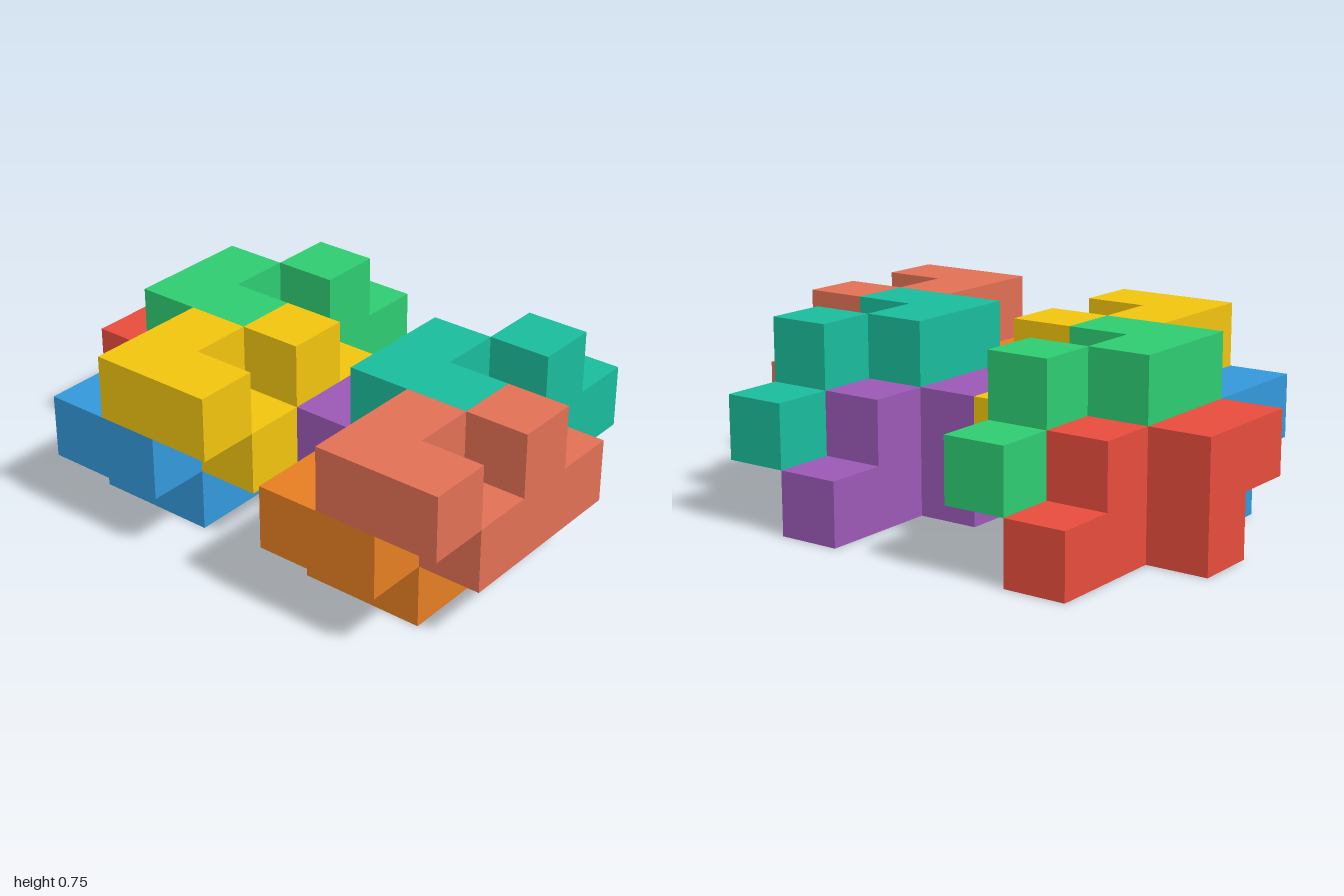
import * as THREE from 'three';
import { mergeGeometries } from 'three/addons/utils/BufferGeometryUtils.js';

const UNIT = 0.25; // edge of one cube

// Cubes of one puzzle piece (x, y, z): a T-shaped bar, a step, and a hook on top
const PIECE = [
  [1, 0, 0], [1, 0, 1], [1, 0, 2], [1, 1, 1], // bar with stud
  [0, 0, 2],                                  // step
  [0, 1, 2], [0, 1, 3], [1, 1, 3],            // hook
];

// Offsets of the four interlocking pieces in a cluster
const OFFSETS = [[0, 0, 0], [1, 1, 0], [1, 0, 2], [2, 1, 2]];

const CLUSTERS = [
  { x: -1, name: 'rightCluster', pieces: [['red', 0xe74c3c], ['green', 0x2ecc71], ['blue', 0x3498db], ['yellow', 0xf1c40f]] },
  { x: 0, name: 'leftCluster', pieces: [['purple', 0x9b59b6], ['teal', 0x1abc9c], ['orange', 0xe67e22], ['coral', 0xe17055]] },
];

const SIDES = [[1, 0, 0], [-1, 0, 0], [0, 1, 0], [0, -1, 0], [0, 0, 1], [0, 0, -1]];

// Outer skin of a set of cubes: one square for each side without a neighbour
function cubesGeometry(cells) {
  const filled = new Set(cells.map(String));
  const forward = new THREE.Vector3(0, 0, 1);
  const squares = [];
  for (const cell of cells) {
    for (const side of SIDES) {
      if (filled.has(String(cell.map((v, a) => v + side[a])))) continue;
      const turn = new THREE.Quaternion().setFromUnitVectors(forward, new THREE.Vector3(...side));
      const centre = cell.map((v, a) => (v + 0.5 + side[a] / 2) * UNIT);
      squares.push(new THREE.PlaneGeometry(UNIT, UNIT).applyQuaternion(turn).translate(...centre));
    }
  }
  return mergeGeometries(squares);
}

export function createModel() {
  const model = new THREE.Group();
  model.name = 'interlockingPuzzle';
  const geometry = cubesGeometry(PIECE);

  for (const { x, name, pieces } of CLUSTERS) {
    const cluster = new THREE.Group();
    cluster.name = name;
    cluster.position.set(x, 0, -0.75);
    pieces.forEach(([label, color], i) => {
      const piece = new THREE.Mesh(geometry, new THREE.MeshStandardMaterial({ color }));
      piece.name = label + 'Piece';
      piece.position.set(...OFFSETS[i]).multiplyScalar(UNIT);
      cluster.add(piece);
    });
    model.add(cluster);
  }
  return model;
}
